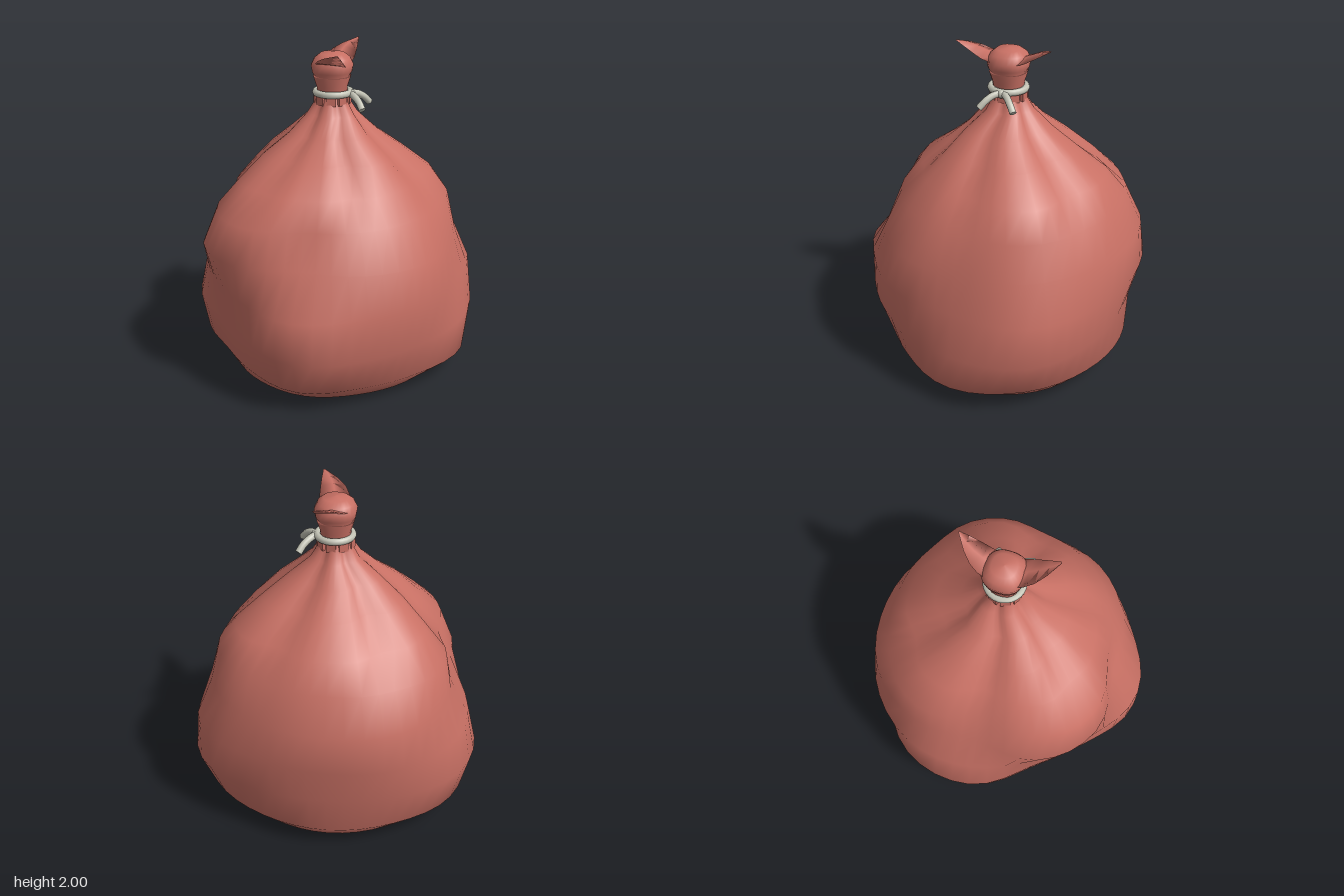
import * as THREE from 'three';

const cloth = new THREE.MeshStandardMaterial({ color: 0xc87064, side: THREE.DoubleSide });
cloth.name = 'red cloth';
const cord = new THREE.MeshStandardMaterial({ color: 0xc4c4b6 });
cord.name = 'grey cord';

const NECK_X = 0.012, NECK_Z = -0.038;
const SEG = 48;

// Sack levels: y, then the radius every 30 degrees from +x towards +z
const LEVELS = [
  [0.03, 0.69, 0.64, 0.61, 0.62, 0.6, 0.6, 0.64, 0.7, 0.7, 0.7, 0.7, 0.72],
  [0.14, 0.855, 0.75, 0.72, 0.765, 0.68, 0.67, 0.81, 0.85, 0.8, 0.79, 0.8, 0.84],
  [0.37, 0.865, 0.8, 0.81, 0.865, 0.73, 0.71, 0.86, 0.905, 0.83, 0.79, 0.84, 0.93],
  [0.63, 0.81, 0.82, 0.81, 0.86, 0.755, 0.73, 0.8, 0.875, 0.89, 0.855, 0.865, 0.92],
  [0.86, 0.76, 0.77, 0.73, 0.67, 0.785, 0.785, 0.68, 0.78, 0.85, 0.835, 0.81, 0.81],
  [1.08, 0.69, 0.64, 0.64, 0.61, 0.745, 0.685, 0.62, 0.735, 0.765, 0.725, 0.75, 0.75],
  [1.23, 0.57, 0.51, 0.52, 0.5, 0.57, 0.53, 0.5, 0.575, 0.62, 0.61, 0.63, 0.63],
  [1.37, 0.42, 0.38, 0.36, 0.32, 0.37, 0.38, 0.38, 0.42, 0.43, 0.43, 0.45, 0.45],
  [1.49, 0.28, 0.25, 0.23, 0.19, 0.21, 0.23, 0.24, 0.27, 0.28, 0.28, 0.29, 0.29],
];

// Joins closed rings of points into one smooth skin
function loft(rings) {
  const n = rings[0].length, pos = [], idx = [];
  rings.forEach((ring) => ring.forEach((p) => pos.push(...p)));
  for (let i = 0; i < rings.length - 1; i++) {
    for (let j = 0; j < n; j++) {
      const k = (j + 1) % n, a = i * n + j, b = i * n + k, c = a + n, d = b + n;
      idx.push(a, c, b, b, c, d);
    }
  }
  const g = new THREE.BufferGeometry();
  g.setAttribute('position', new THREE.Float32BufferAttribute(pos, 3));
  g.setIndex(idx);
  g.computeVertexNormals();
  return g;
}

// Ring around (cx, cz) with a radius for each angle
function ring(count, y, cx, cz, radius) {
  return Array.from({ length: count }, (_, j) => {
    const t = (j / count) * Math.PI * 2;
    const r = radius(t);
    return [cx + Math.cos(t) * r, y, cz + Math.sin(t) * r];
  });
}

function add(group, name, geometry, material) {
  const m = new THREE.Mesh(geometry, material);
  m.name = name;
  group.add(m);
  return m;
}

// Smooth closed interpolation of evenly spaced radii
function radiusAt(radii, t) {
  const n = radii.length, f = (t / (Math.PI * 2)) * n, i = Math.floor(f), u = f - i;
  const [a, b, c, d] = [-1, 0, 1, 2].map((k) => radii[(i + k + n) % n]);
  return b + 0.5 * u * (c - a + u * (2 * a - 5 * b + 4 * c - d + u * (3 * (b - c) + d - a)));
}

// Six pleats that fade out down the sack
function fold(y, t) {
  const depth = 0.17 * THREE.MathUtils.smoothstep(y, 0.95, 1.4);
  return 1 - depth * (((1 + Math.cos(6 * t)) / 2) ** 2 - 0.3);
}

function sackGeometry() {
  const rings = [
    ring(SEG, 0, 0, 0, () => 0),
    ring(SEG, 0.003, 0, -0.03, () => 0.53),
  ];
  LEVELS.forEach(([y, ...radii]) => {
    rings.push(ring(SEG, y, 0, 0, (t) => radiusAt(radii, t) * fold(y, t)));
  });
  [[1.6, 0.148], [1.67, 0.105], [1.74, 0.09]].forEach(([y, r]) => {
    rings.push(ring(SEG, y, NECK_X, NECK_Z, (t) => r * fold(y, t)));
  });
  return loft(rings);
}

// Bunched cloth above the cord: y, radius of a rounded square
function topGeometry() {
  const rows = [
    [1.7, 0.085], [1.76, 0.09], [1.825, 0.11], [1.826, 0.102], [1.85, 0.116],
    [1.89, 0.123], [1.93, 0.104], [1.957, 0.07], [1.966, 0],
  ];
  return loft(rows.map(([y, r]) => ring(24, y, NECK_X, NECK_Z,
    (t) => r * (Math.abs(Math.cos(t)) ** 2.5 + Math.abs(Math.sin(t)) ** 2.5) ** -0.4)));
}

// Pointed cloth corner, arched across: distance from neck, y, inner x, outer x
function cornerGeometry(side) {
  const rows = [
    [0.06, 1.893, -0.07, 0.11], [0.13, 1.918, -0.055, 0.118], [0.18, 1.945, -0.03, 0.118],
    [0.23, 1.972, 0.02, 0.116], [0.285, 2, 0.1, 0.112],
  ];
  return loft(rows.map(([d, y, a, b]) => {
    const w = b - a, mid = (a + b) / 2;
    const z = NECK_Z + side * d;
    const section = [[a, y, z], [mid, y - 0.02 * w, z], [b, y - 0.04 * w, z], [mid, y + 0.1 * w, z]];
    return side > 0 ? section : section.reverse();
  }));
}

export function createModel() {
  const model = new THREE.Group();
  model.name = 'tiedSack';

  add(model, 'sackBody', sackGeometry(), cloth);
  add(model, 'bunchedTop', topGeometry(), cloth);
  for (const side of [1, -1]) {
    add(model, side > 0 ? 'frontClothCorner' : 'backClothCorner', cornerGeometry(side), cloth);
  }

  // Gathered tabs peeking out below the cord
  const gathers = new THREE.Group();
  gathers.name = 'gatheredFolds';
  for (let i = 0; i < 9; i++) {
    const t = (i / 9) * Math.PI * 2;
    const tab = add(gathers, 'fold', new THREE.BoxGeometry(0.02, 0.05, 0.055), cloth);
    tab.position.set(NECK_X + Math.cos(t) * 0.1, 1.685, NECK_Z + Math.sin(t) * 0.1);
    tab.rotation.y = -t;
  }
  model.add(gathers);

  // Cord loop, knot and two hanging ends
  const loop = add(model, 'cordLoop', new THREE.TorusGeometry(0.103, 0.021, 8, 28), cord);
  loop.rotation.x = Math.PI / 2;
  loop.position.set(NECK_X + 0.005, 1.726, NECK_Z);
  const knot = add(model, 'cordKnot', new THREE.SphereGeometry(0.025, 10, 8), cord);
  knot.position.set(0.13, 1.72, NECK_Z);
  for (const side of [1, -1]) {
    const path = new THREE.CatmullRomCurve3([
      new THREE.Vector3(0.12, 1.722, NECK_Z + side * 0.005),
      new THREE.Vector3(0.155, 1.714, NECK_Z + side * 0.042),
      new THREE.Vector3(0.19, 1.688, NECK_Z + side * 0.075),
      new THREE.Vector3(0.217, 1.65, NECK_Z + side * 0.105),
    ]);
    const name = side > 0 ? 'frontCordEnd' : 'backCordEnd';
    add(model, name, new THREE.TubeGeometry(path, 10, 0.021, 8), cord);
    const cap = add(model, name + 'Cap', new THREE.CircleGeometry(0.021, 8), cord);
    const end = path.getPoint(1);
    cap.position.copy(end);
    cap.lookAt(end.clone().add(path.getTangent(1)));
  }
  return model;
}
